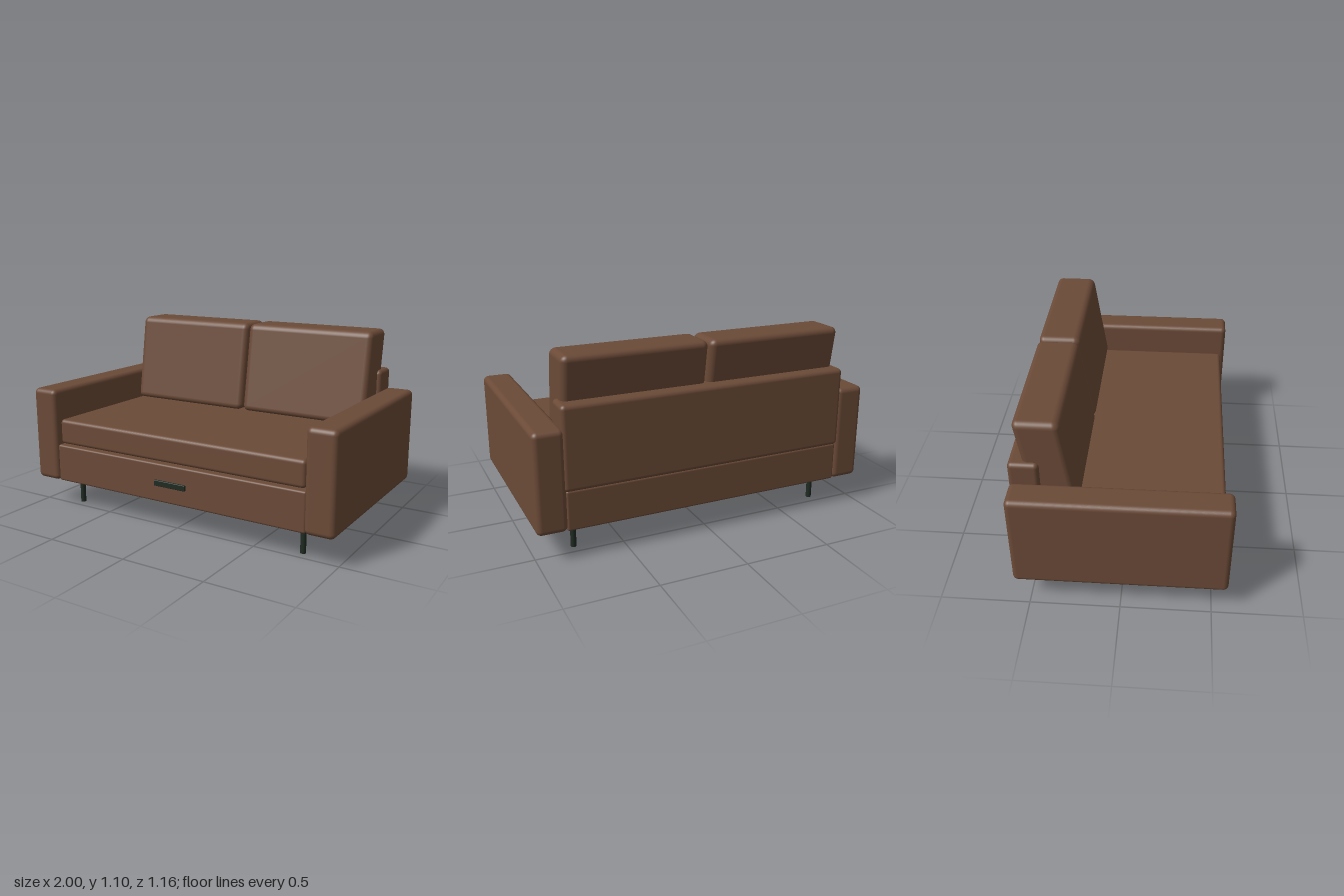
import * as THREE from 'three';
import { RoundedBoxGeometry } from 'three/addons/geometries/RoundedBoxGeometry.js';

const leather = new THREE.MeshStandardMaterial({ color: 0x6b4a37 });
leather.name = 'brown leather';
const metal = new THREE.MeshStandardMaterial({ color: 0x1f2b22 });
metal.name = 'dark metal';

// Rounded block given by its limits on each axis
function block(name, [x0, x1], [y0, y1], [z0, z1], radius, material = leather) {
  const geometry = new RoundedBoxGeometry(x1 - x0, y1 - y0, z1 - z0, 4, radius);
  const mesh = new THREE.Mesh(geometry, material);
  mesh.position.set((x0 + x1) / 2, (y0 + y1) / 2, (z0 + z1) / 2);
  mesh.name = name;
  return mesh;
}

export function createModel() {
  const sofa = new THREE.Group();
  sofa.name = 'sofa';

  // Frame, seat and low backrest
  sofa.add(block('base', [-0.835, 0.835], [0.165, 0.392], [-0.575, 0.567], 0.012));
  sofa.add(block('seatCushion', [-0.822, 0.822], [0.398, 0.55], [-0.43, 0.553], 0.022));
  sofa.add(block('backrest', [-0.847, 0.847], [0.385, 0.855], [-0.582, -0.42], 0.025));

  // Pull handle on the front of the base
  sofa.add(block('handle', [-0.105, 0.105], [0.262, 0.296], [0.555, 0.578], 0.004, metal));

  // Back cushions lean backward but keep level tops
  const lean = new THREE.Matrix4().makeShear(0, 0, 0, -0.155, 0, 0);

  for (const side of [1, -1]) {
    const prefix = side > 0 ? 'left' : 'right';
    const span = (a, b) => (side > 0 ? [a, b] : [-b, -a]);

    sofa.add(block(prefix + 'Arm', span(0.83, 1), [0.165, 0.732], [-0.582, 0.582], 0.03));

    const cushion = block(prefix + 'BackCushion', span(0.005, 0.822), [0.55, 1.095], [-0.506, -0.266], 0.036);
    cushion.geometry.applyMatrix4(lean);
    sofa.add(cushion);

    // Slim round legs
    for (const z of [0.435, -0.435]) {
      const leg = new THREE.Mesh(new THREE.CylinderGeometry(0.016, 0.016, 0.18, 20), metal);
      leg.position.set(side * 0.767, 0.09, z);
      leg.name = prefix + (z > 0 ? 'FrontLeg' : 'BackLeg');
      sofa.add(leg);
    }
  }
  return sofa;
}
